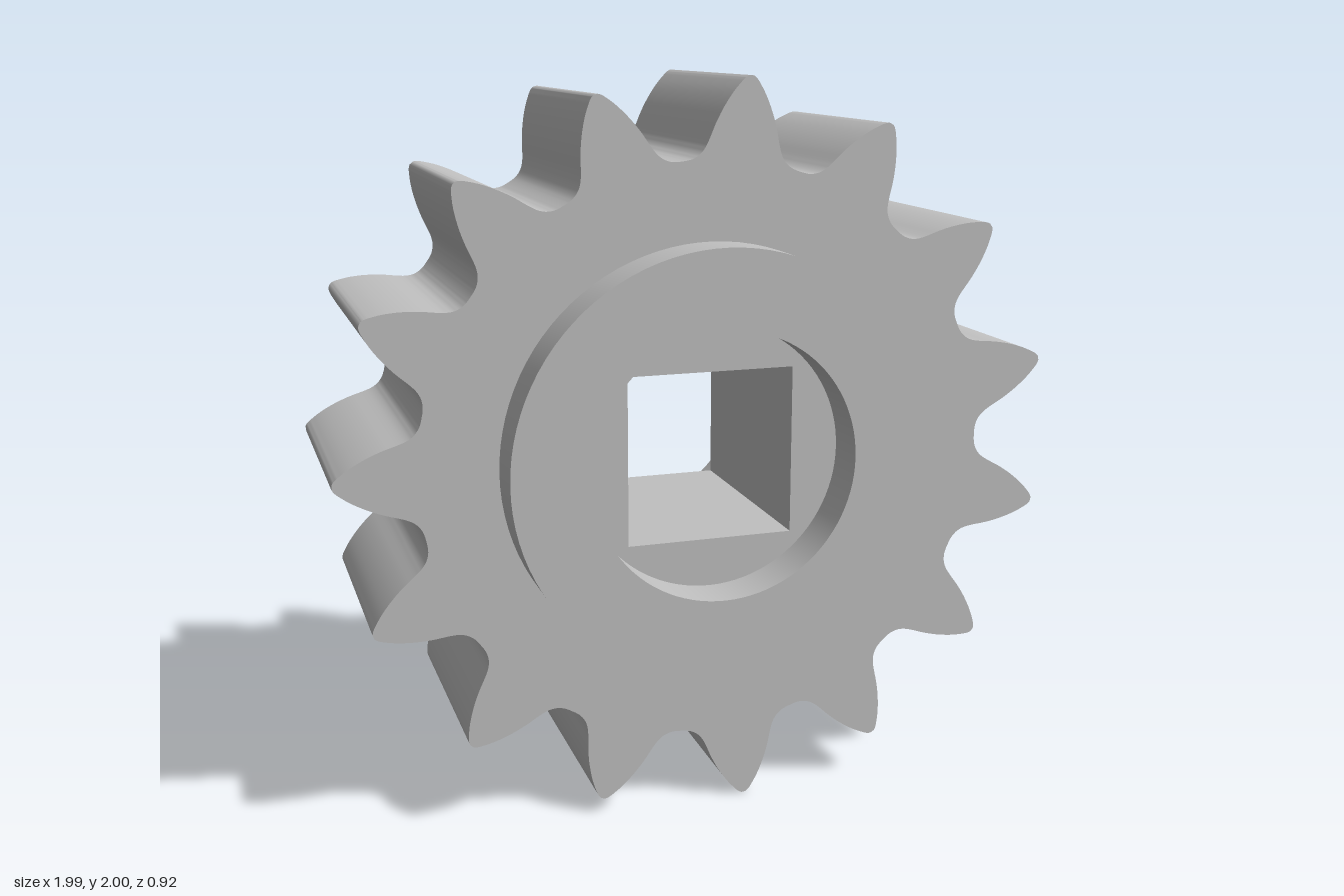
import * as THREE from 'three';
import { toCreasedNormals } from 'three/addons/utils/BufferGeometryUtils.js';

const TEETH = 15;
const HALF_WIDTH = 0.33;   // toothed body, along z
const HUB_FACE = 0.46;     // outer face of the raised collars
const HUB_RADIUS = 0.578;
const BORE_RADIUS = 0.365;
const SQUARE = 0.232;      // half side of the shaft hole

// Half a tooth from tip to valley: [radius, degrees from the tooth axis]
const FLANK = [
  [1.005, 0.35], [1.0, 0.8], [0.99, 1.35], [0.96, 2.7], [0.92, 4.2], [0.88, 5.5],
  [0.845, 6.5], [0.82, 7.4], [0.803, 8.5], [0.793, 9.9], [0.79, 11.2],
];

function gearOutline() {
  const curve = new THREE.SplineCurve(FLANK.map(([r, a]) => new THREE.Vector2(r, a * 0.02)));
  const half = curve.getPoints(30).map((p) => [p.x, p.y / 0.02]);
  const tooth = [...half.map(([r, a]) => [r, -a]).reverse(), ...half];
  const points = [];
  for (let i = 0; i < TEETH; i++) {
    const axis = 180 + (i * 360) / TEETH;
    for (const [r, a] of tooth) {
      const t = THREE.MathUtils.degToRad(axis + a);
      points.push(new THREE.Vector2(r * Math.cos(t), r * Math.sin(t)));
    }
  }
  return points;
}

export function createModel() {
  const model = new THREE.Group();
  model.name = 'spurGear';
  const grey = new THREE.MeshStandardMaterial({ color: 0xc0c0c0 });
  grey.name = 'light grey';

  const gear = new THREE.Group();
  gear.name = 'gear';
  gear.position.set(0.006, 1, 0);
  model.add(gear);

  // Toothed body with a square shaft hole
  const shape = new THREE.Shape(gearOutline());
  const s = SQUARE;
  shape.holes.push(new THREE.Path([
    new THREE.Vector2(-s, -s), new THREE.Vector2(-s, s),
    new THREE.Vector2(s, s), new THREE.Vector2(s, -s),
  ]));
  const bodyGeometry = new THREE.ExtrudeGeometry(shape, { depth: 2 * HALF_WIDTH, bevelEnabled: false });
  bodyGeometry.translate(0, 0, -HALF_WIDTH);
  const body = new THREE.Mesh(toCreasedNormals(bodyGeometry, 0.6), grey);
  body.name = 'toothedBody';
  gear.add(body);

  // Raised ring collars, front and back, around a round recess
  const profile = [
    [HUB_RADIUS, HALF_WIDTH], [HUB_RADIUS, HUB_FACE],
    [BORE_RADIUS, HUB_FACE], [BORE_RADIUS, HALF_WIDTH],
  ].map(([x, y]) => new THREE.Vector2(x, y));
  const collarGeometry = toCreasedNormals(new THREE.LatheGeometry(profile, 96), 0.6);
  for (const [name, side] of [['frontCollar', 1], ['backCollar', -1]]) {
    const collar = new THREE.Mesh(collarGeometry, grey);
    collar.name = name;
    collar.rotation.x = (side * Math.PI) / 2;
    gear.add(collar);
  }
  return model;
}
